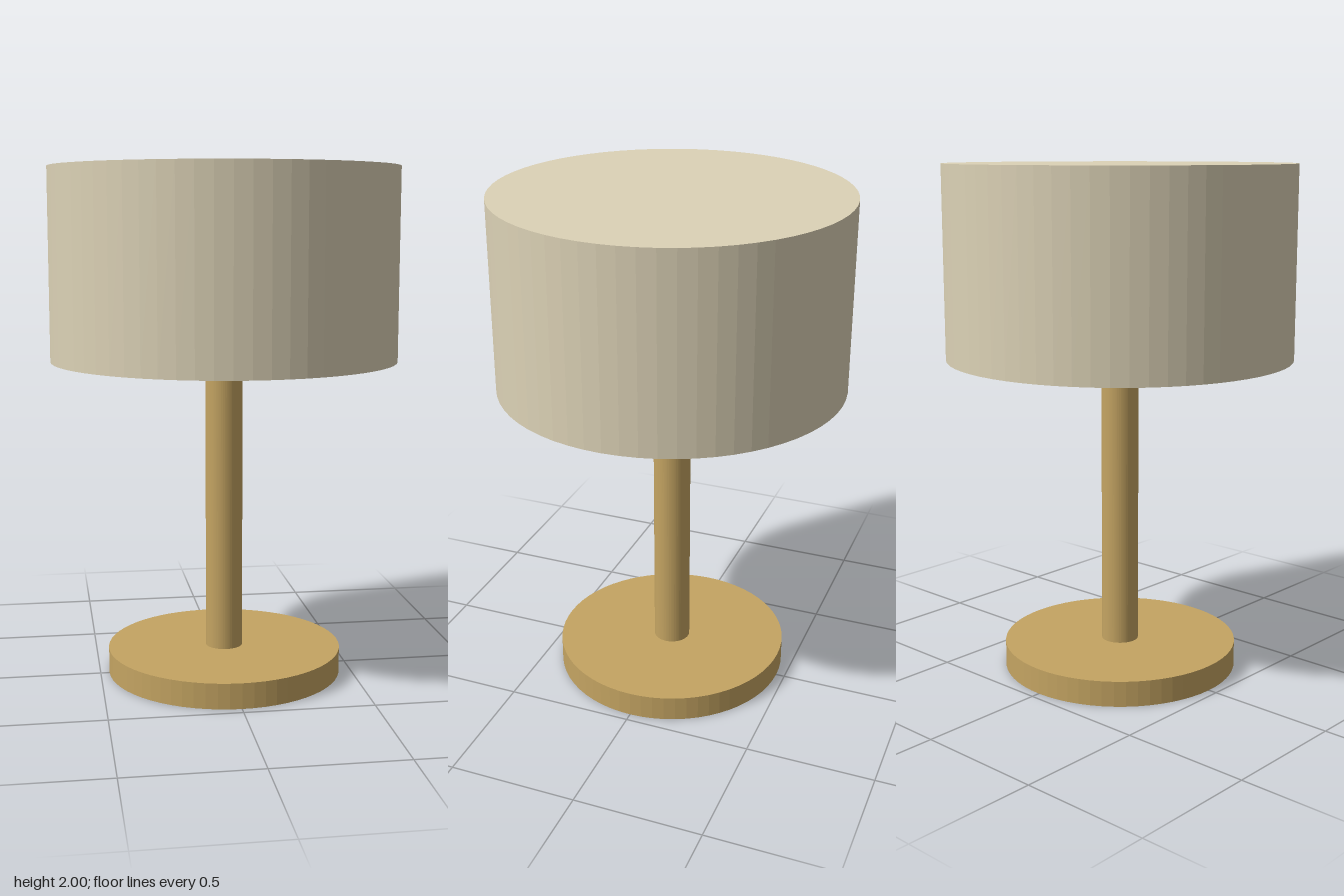
import * as THREE from 'three';

const SIDES = 64;

export function createModel() {
  const group = new THREE.Group();
  const brass = new THREE.MeshStandardMaterial({ color: 0xc4a462, flatShading: true });
  const fabric = new THREE.MeshStandardMaterial({ color: 0xdcd2b6, flatShading: true });

  // Upright closed cylinder spanning y0 to y1
  const addDisc = (name, radius, y0, y1, material) => {
    const mesh = new THREE.Mesh(new THREE.CylinderGeometry(radius, radius, y1 - y0, SIDES), material);
    mesh.name = name;
    mesh.position.y = (y0 + y1) / 2;
    group.add(mesh);
  };

  addDisc('base', 0.465, 0, 0.1, brass);
  addDisc('stem', 0.073, 0.1, 1.26, brass);
  addDisc('shade', 0.675, 1.257, 2, fabric);

  return group;
}
